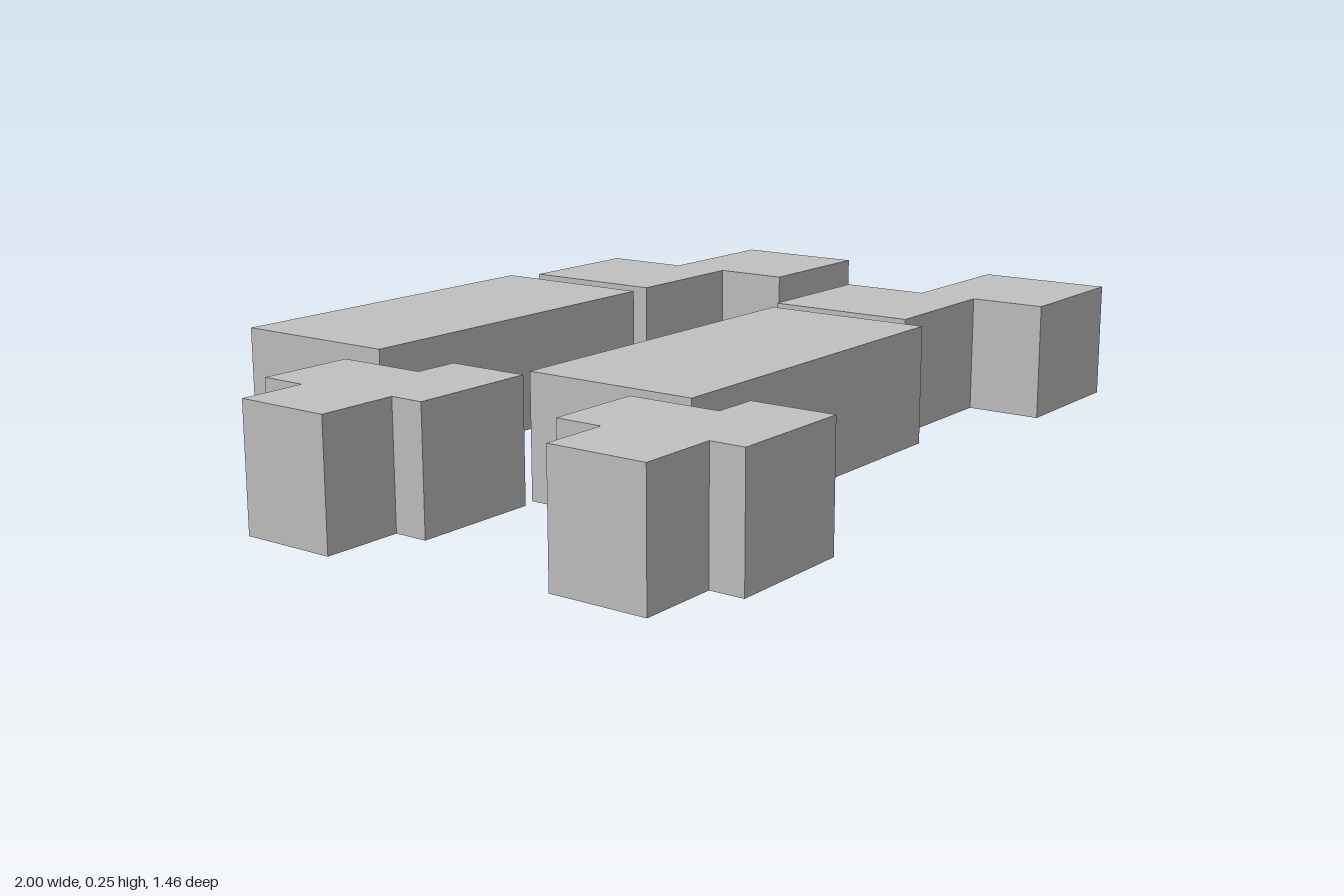
import * as THREE from 'three';

const HEIGHT = 0.25;
const TURN = 0.0925; // all blocks share one slight turn about y

// Footprints as [x, z], starting at the back left corner
const slab = [[0, 0], [0.81, 0], [0.81, 0.37], [0, 0.37]];
const stepped = [
  [0, 0], [0.302, 0], [0.302, 0.194], [0.62, 0.194],
  [0.62, 0.489], [0.305, 0.489], [0.305, 0.324], [0, 0.324],
];
const crossed = [
  [0, 0], [0.201, 0], [0.201, 0.191], [0.295, 0.191], [0.295, 0.365],
  [0.027, 0.365], [0.027, 0.295], [-0.138, 0.295], [-0.138, 0.096], [0, 0.096],
];

// Upright prism over a footprint
function prism(points) {
  const shape = new THREE.Shape(points.map(([x, z]) => new THREE.Vector2(x, z)));
  const geo = new THREE.ExtrudeGeometry(shape, { depth: HEIGHT, bevelEnabled: false });
  return geo.rotateX(Math.PI / 2).translate(0, HEIGHT, 0);
}

export function createModel() {
  const group = new THREE.Group();
  group.name = 'buildingBlocks';
  const grey = new THREE.MeshStandardMaterial({ color: 0xc0c0c0 });
  grey.name = 'grey';

  // Each kind of building stands once in the back row and once in the front row
  const kinds = [
    { name: 'LongBuilding', outline: slab, back: [-0.606, -0.66], front: [-0.515, 0.072] },
    { name: 'SteppedBuilding', outline: stepped, back: [0.257, -0.698], front: [0.334, -0.027] },
    { name: 'SmallBuilding', outline: crossed, back: [-0.872, -0.251], front: [-0.738, 0.366] },
  ];
  for (const kind of kinds) {
    const geo = prism(kind.outline);
    for (const row of ['back', 'front']) {
      const mesh = new THREE.Mesh(geo, grey);
      mesh.name = row + kind.name;
      mesh.position.set(kind[row][0], 0, kind[row][1]);
      mesh.rotation.y = TURN;
      group.add(mesh);
    }
  }
  return group;
}
